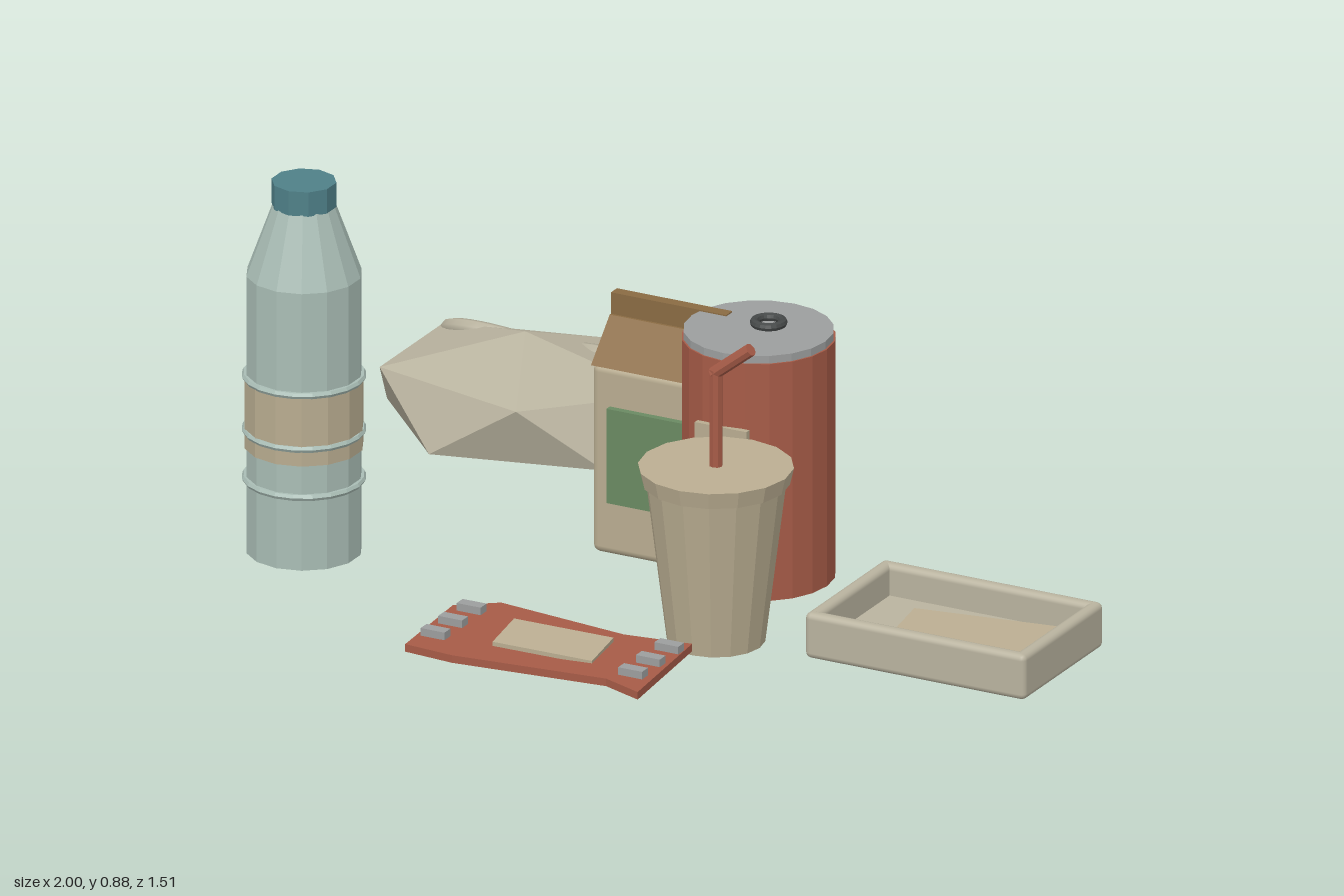
import * as THREE from 'three';
import { RoundedBoxGeometry } from 'three/addons/geometries/RoundedBoxGeometry.js';
import { ConvexGeometry } from 'three/addons/geometries/ConvexGeometry.js';

const paint = (color, flat = true) => new THREE.MeshStandardMaterial({ color, flatShading: flat });
const glass = paint(0xa9bdb5), teal = paint(0x4f8088), beige = paint(0xbbae92), tan = paint(0xb8ac90);
const cream = paint(0xb9b39f), red = paint(0xa65b47), brown = paint(0x8a6b43), green = paint(0x6a8a62);
const metal = paint(0x9c9e9e), dark = paint(0x454848);
const creamSmooth = paint(0xb9b39f, false), tanSmooth = paint(0xb8ac90, false);

function add(parent, name, geometry, material, x = 0, y = 0, z = 0) {
  const mesh = new THREE.Mesh(geometry, material);
  mesh.name = name;
  mesh.position.set(x, y, z);
  parent.add(mesh);
  return mesh;
}

function group(parent, name, x, z) {
  const g = new THREE.Group();
  g.name = name;
  g.position.set(x, 0, z);
  parent.add(g);
  return g;
}

// Upright cylinder or cone section between two heights
const drum = (rBottom, rTop, y0, y1, sides) =>
  new THREE.CylinderGeometry(rTop, rBottom, y1 - y0, sides).translate(0, (y0 + y1) / 2, 0);

const box = (w, h, d) => new THREE.BoxGeometry(w, h, d);

function makeBottle(root) {
  const g = group(root, 'bottle', -0.84, 0.23);
  const profile = [[0, 0], [0.13, 0], [0.13, 0.66], [0.07, 0.825], [0, 0.825]];
  add(g, 'bottleBody', new THREE.LatheGeometry(profile.map(p => new THREE.Vector2(...p)), 14), glass);
  add(g, 'bottleCap', drum(0.073, 0.073, 0.822, 0.88, 10), teal);
  add(g, 'bottleLabel', drum(0.134, 0.134, 0.25, 0.415, 14), tan);
  for (const y of [0.175, 0.29, 0.418])
    add(g, 'bottleRing', new THREE.TorusGeometry(0.131, 0.008, 6, 20).rotateX(Math.PI / 2), glass, 0, y, 0);
}

function makeBag(root) {
  const g = group(root, 'bag', -0.65, -0.455);
  // Twelve corners: two poles and two staggered rings of five
  const points = [new THREE.Vector3(0, 0.315, 0), new THREE.Vector3(0, 0.01, 0)];
  for (let i = 0; i < 5; i++) {
    const a = i * Math.PI * 0.4;
    points.push(new THREE.Vector3(0.352 * Math.cos(a), 0.23, 0.26 * Math.sin(a)));
    points.push(new THREE.Vector3(-0.348 * Math.cos(a), 0.09, 0.265 * Math.sin(a)));
  }
  add(g, 'bagBody', new ConvexGeometry(points), cream);
  for (const x of [-0.163, 0.147]) {
    const handle = add(g, 'bagHandle', new THREE.TorusGeometry(0.118, 0.02, 8, 28), creamSmooth, x, 0.194, -0.186);
    handle.rotation.x = 1.0;
  }
}

function makeCarton(root) {
  const g = group(root, 'carton', -0.127, -0.165);
  add(g, 'cartonBody', new RoundedBoxGeometry(0.29, 0.45, 0.216, 2, 0.018), tanSmooth, 0, 0.225, 0);
  // Gable roof and the sealed fin on top
  const gable = new THREE.Shape([[-0.108, 0.445], [0.108, 0.445], [0.02, 0.535], [-0.02, 0.535]]
    .map(p => new THREE.Vector2(...p)));
  const roof = new THREE.ExtrudeGeometry(gable, { depth: 0.29, bevelEnabled: false });
  add(g, 'cartonRoof', roof.translate(0, 0, -0.145).rotateY(Math.PI / 2), brown);
  add(g, 'cartonFin', box(0.29, 0.065, 0.028), brown, 0, 0.5535, 0);
  add(g, 'cartonLabel', box(0.195, 0.225, 0.016), green, 0, 0.243, 0.116);
}

function makeCan(root) {
  const g = group(root, 'can', 0.115, -0.122);
  add(g, 'canBody', drum(0.172, 0.172, 0, 0.565, 20), red);
  add(g, 'canLid', drum(0.168, 0.168, 0.565, 0.583, 20), metal);
  add(g, 'canTab', new THREE.TorusGeometry(0.032, 0.01, 8, 20).rotateX(Math.PI / 2), dark, 0.025, 0.603, 0);
  add(g, 'canLabel', box(0.13, 0.21, 0.014), tan, 0, 0.305, 0.172);
}

function makeCup(root) {
  const g = group(root, 'cup', 0.22, 0.275);
  add(g, 'cupBody', drum(0.11, 0.157, 0, 0.38, 16), tan);
  add(g, 'cupLid', drum(0.165, 0.174, 0.376, 0.415, 16), beige);
  // Bent straw
  add(g, 'strawStem', drum(0.015, 0.015, 0.38, 0.645, 8), red);
  const tip = add(g, 'strawTip', drum(0.015, 0.015, -0.008, 0.112, 8), red, 0, 0.638, 0);
  tip.rotation.z = -0.9;
}

function makeTray(root) {
  const g = group(root, 'tray', 0.7225, 0.095);
  add(g, 'trayFloor', new RoundedBoxGeometry(0.54, 0.035, 0.36, 2, 0.012), creamSmooth, 0, 0.0175, 0);
  for (const s of [-1, 1]) {
    add(g, 'traySideWall', new RoundedBoxGeometry(0.032, 0.108, 0.375, 2, 0.014), creamSmooth, s * 0.2615, 0.054, 0);
    add(g, 'trayLongWall', new RoundedBoxGeometry(0.555, 0.108, 0.032, 2, 0.014), creamSmooth, 0, 0.054, s * 0.1715);
  }
  const liner = add(g, 'trayLiner', box(0.34, 0.01, 0.242), beige, 0.036, 0.039, -0.003);
  liner.rotation.y = 0.16;
}

function makeWrapper(root) {
  const g = group(root, 'wrapper', 0, 0);
  // Torn outline given as x and z
  const outline = [[-0.327, 0.49], [-0.24, 0.425], [0.09, 0.465], [0.25, 0.443], [0.28, 0.755],
    [0.18, 0.717], [-0.187, 0.755], [-0.31, 0.745]];
  const shape = new THREE.Shape(outline.map(([x, z]) => new THREE.Vector2(x, -z)));
  const sheet = new THREE.ExtrudeGeometry(shape, { depth: 0.018, bevelEnabled: false });
  add(g, 'wrapperSheet', sheet.rotateX(-Math.PI / 2), red, 0, 0.036, 0);
  const label = add(g, 'wrapperLabel', box(0.236, 0.01, 0.135), beige, -0.016, 0.064, 0.6);
  label.rotation.set(0.04, 0.13, -0.06);
  for (const x of [-0.267, 0.23])
    for (const z of [0.513, 0.6, 0.683])
      add(g, 'wrapperCrimp', box(0.06, 0.018, 0.028), metal, x, 0.069, z);
}

export function createModel() {
  const root = new THREE.Group();
  root.name = 'litterSet';
  for (const make of [makeBottle, makeBag, makeCarton, makeCan, makeCup, makeTray, makeWrapper]) make(root);
  return root;
}
